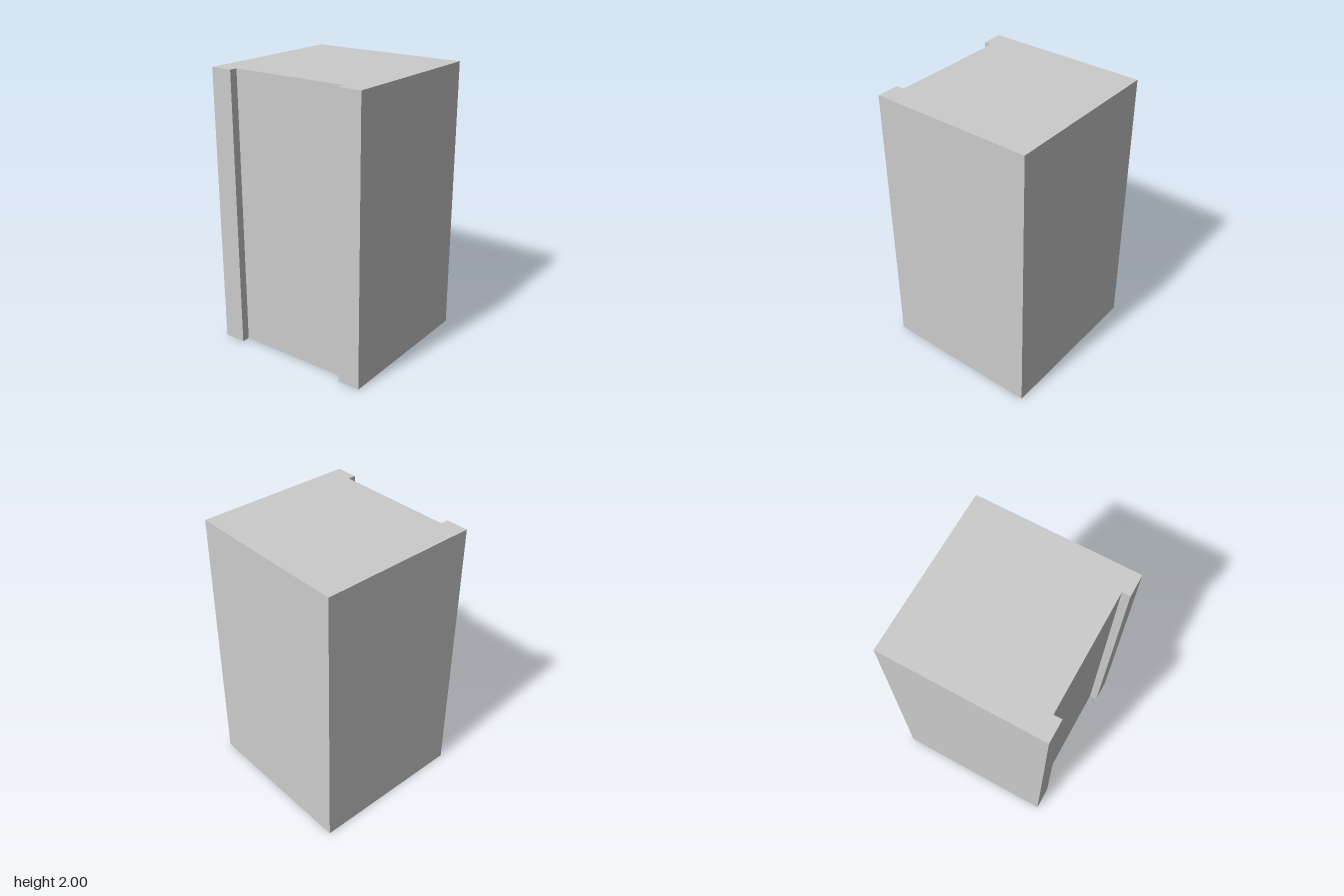
import * as THREE from 'three';

const HALF_WIDTH = 0.6;
const HALF_DEPTH = 0.58;
const HEIGHT = 2;
const RECESS_HALF_WIDTH = 0.437;
const RECESS_Z = 0.522;

export function createModel() {
  const group = new THREE.Group();
  group.name = 'recessedBlock';

  // Floor plan as [x, z]: a rectangle with a shallow channel along the front
  const plan = [
    [-HALF_WIDTH, HALF_DEPTH],
    [-RECESS_HALF_WIDTH, HALF_DEPTH],
    [-RECESS_HALF_WIDTH, RECESS_Z],
    [RECESS_HALF_WIDTH, RECESS_Z],
    [RECESS_HALF_WIDTH, HALF_DEPTH],
    [HALF_WIDTH, HALF_DEPTH],
    [HALF_WIDTH, -HALF_DEPTH],
    [-HALF_WIDTH, -HALF_DEPTH],
  ];
  const shape = new THREE.Shape(plan.map(([x, z]) => new THREE.Vector2(x, -z)));

  // Extrude the plan and stand it upright
  const geometry = new THREE.ExtrudeGeometry(shape, { depth: HEIGHT, bevelEnabled: false });
  geometry.rotateX(-Math.PI / 2);

  const body = new THREE.Mesh(geometry, new THREE.MeshStandardMaterial({ color: 0xcccccc }));
  body.name = 'body';
  group.add(body);
  return group;
}
